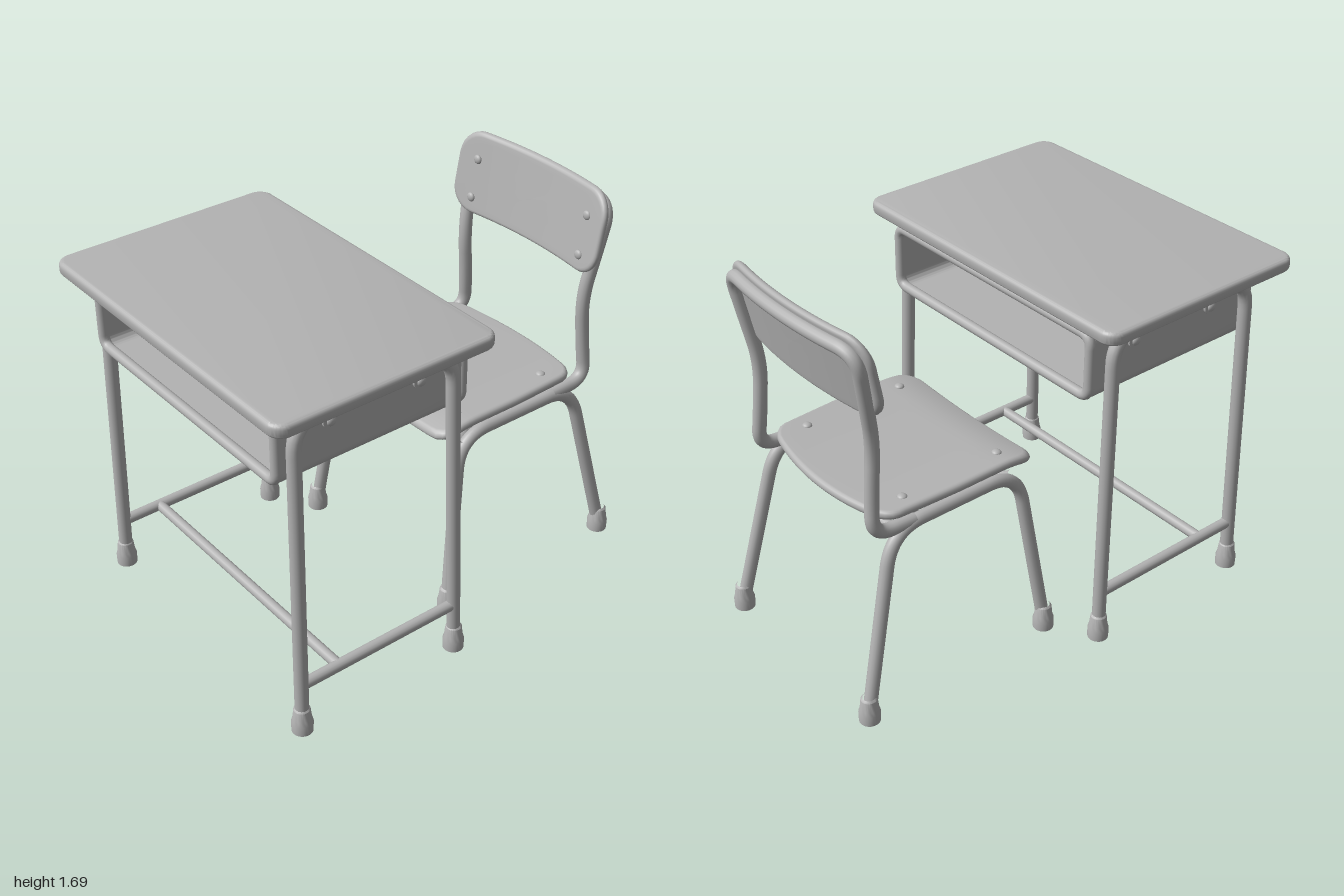
import * as THREE from 'three';
import { toCreasedNormals } from 'three/addons/utils/BufferGeometryUtils.js';

const grey = new THREE.MeshStandardMaterial({ color: 0xb3b3b3 });
grey.name = 'plain grey';

const v = (x, y, z) => new THREE.Vector3(x, y, z);

function add(parent, name, geometry, x = 0, y = 0, z = 0) {
  const mesh = new THREE.Mesh(geometry, grey);
  mesh.name = name;
  mesh.position.set(x, y, z);
  parent.add(mesh);
  return mesh;
}

// Round tube along a polyline whose corners are rounded off
function tube(points, radius, corner = 0, segments = 80) {
  const path = new THREE.CurvePath();
  let last = points[0];
  for (let i = 1; i < points.length - 1; i++) {
    const p = points[i];
    const cut = (q) => {
      const d = q.clone().sub(p);
      return p.clone().add(d.setLength(Math.min(corner, d.length() * 0.49)));
    };
    const a = cut(points[i - 1]), b = cut(points[i + 1]);
    path.add(new THREE.LineCurve3(last, a));
    path.add(new THREE.QuadraticBezierCurve3(a, p, b));
    last = b;
  }
  path.add(new THREE.LineCurve3(last, points[points.length - 1]));
  return new THREE.TubeGeometry(path, points.length > 2 ? segments : 1, radius, 14);
}

function roundedRect(w, h, r, Type = THREE.Shape) {
  const s = new Type(), x = w / 2, y = h / 2;
  s.absarc(x - r, y - r, r, 0, Math.PI / 2);
  s.absarc(-x + r, y - r, r, Math.PI / 2, Math.PI);
  s.absarc(-x + r, -y + r, r, Math.PI, Math.PI * 1.5);
  s.absarc(x - r, -y + r, r, Math.PI * 1.5, Math.PI * 2);
  s.closePath();
  return s;
}

// Soft-edged board made of nested outline rings, then bent by a rule
function bentPanel(w, h, r, t, bend) {
  const outline = roundedRect(w, h, r).getSpacedPoints(96).slice(0, 96);
  const n = outline.length, e = t / 2, rings = [];
  for (let i = 0; i <= 8; i++) rings.push([i / 8, e, e]);
  for (let i = 1; i < 8; i++) {
    const a = Math.PI / 2 - (i * Math.PI) / 8;
    rings.push([1, e - e * Math.cos(a), e * Math.sin(a)]);
  }
  for (let i = 8; i >= 0; i--) rings.push([i / 8, e, -e]);
  const pos = [], index = [];
  rings.forEach(([scale, inset, off], i) => {
    outline.forEach((p, j) => {
      const q = v(p.x * scale * (1 - 2 * inset / w), p.y * scale * (1 - 2 * inset / h), off);
      bend(q);
      pos.push(q.x, q.y, q.z);
      if (i === rings.length - 1) return;
      const a = i * n + j, b = i * n + (j + 1) % n;
      index.push(a, a + n, b + n, a, b + n, b);
    });
  });
  const g = new THREE.BufferGeometry();
  g.setAttribute('position', new THREE.Float32BufferAttribute(pos, 3));
  g.setIndex(index);
  g.computeVertexNormals();
  return g;
}

// Flared foot cap with a recess underneath
const footGeometry = toCreasedNormals(new THREE.LatheGeometry(
  [[0, 0.02], [0.024, 0.02], [0.024, 0], [0.044, 0], [0.045, 0.045], [0.039, 0.065], [0.034, 0.11], [0.026, 0.118]]
    .map(([x, y]) => new THREE.Vector2(x, y)), 24), 0.7);

const boltGeometry = new THREE.SphereGeometry(0.021, 16, 10).scale(1, 0.6, 1);

function createDesk() {
  const desk = new THREE.Group();
  desk.name = 'desk';

  // Table top with rounded edges
  const top = new THREE.ExtrudeGeometry(roundedRect(1.474, 0.97, 0.045), {
    depth: 0.02, bevelThickness: 0.02, bevelSize: 0.02, bevelSegments: 5, curveSegments: 10,
  }).rotateX(-Math.PI / 2);
  add(desk, 'tableTop', toCreasedNormals(top, 0.6), 0, 1.495, 0.495);

  // Open-ended book tray
  const trayShape = roundedRect(1.22, 0.305, 0.05);
  trayShape.holes.push(roundedRect(1.19, 0.275, 0.038, THREE.Path));
  const tray = new THREE.ExtrudeGeometry(trayShape, { depth: 0.86, bevelEnabled: false, curveSegments: 8 });
  add(desk, 'bookTray', toCreasedNormals(tray, 0.6), 0, 1.3125, 0.037);

  // Rolled rims at both openings
  for (const [name, z] of [['frontTrayRim', 0.896], ['backTrayRim', 0.038]]) {
    const x = 0.595, lo = 1.176, hi = 1.448;
    add(desk, name, tube([v(0, lo, z), v(x, lo, z), v(x, hi, z), v(-x, hi, z), v(-x, lo, z), v(0, lo, z)], 0.022, 0.05, 200));
  }

  for (const s of [1, -1]) {
    const side = s > 0 ? 'left' : 'right';
    // Side frame: one bent tube making front and back legs
    add(desk, side + 'LegFrame', tube([
      v(0.66 * s, 0.05, 0.865), v(0.637 * s, 1.443, 0.848), v(0.637 * s, 1.443, 0.12), v(0.66 * s, 0.05, 0.088),
    ], 0.029, 0.13, 120));
    add(desk, side + 'LowerRail', tube([v(0.656 * s, 0.228, 0.86), v(0.656 * s, 0.228, 0.095)], 0.024));
    for (const z of [0.865, 0.088]) add(desk, side + 'DeskFoot', footGeometry, 0.66 * s, 0, z);

    // Mounting tabs and rivets
    for (const z of [0.67, 0.255]) {
      const tab = new THREE.Shape();
      tab.moveTo(0.035, 0.07);
      tab.lineTo(-0.035, 0.07);
      tab.absarc(0, 0, 0.035, Math.PI, Math.PI * 2);
      const g = new THREE.ExtrudeGeometry(tab, { depth: 0.012, bevelEnabled: false }).translate(0, 0, -0.006).rotateY(Math.PI / 2);
      add(desk, side + 'MountingTab', toCreasedNormals(g, 0.6), 0.615 * s, 1.365, z);
      add(desk, side + 'TabRivet', boltGeometry, 0.62 * s, 1.362, z).rotation.z = -s * Math.PI / 2;
    }
  }
  add(desk, 'crossRail', tube([v(-0.656, 0.228, 0.68), v(0.656, 0.228, 0.68)], 0.023));
  return desk;
}

function createChair() {
  const chair = new THREE.Group();
  chair.name = 'chair';

  // Dished seat: sides raised, front edge rolled down, back edge narrower
  const seat = bentPanel(0.82, 0.79, 0.075, 0.042, (q) => {
    const back = Math.max(0, q.y / 0.395);
    q.y -= 0.06 * back ** 2 * (q.x / 0.41) ** 2;
    q.x *= 1 - 0.04 * back;
    const lip = Math.max(0, (-q.y - 0.22) / 0.175);
    q.z += 0.018 * (q.x / 0.41) ** 2 - 0.032 * lip ** 2;
  }).rotateX(-Math.PI / 2);
  add(chair, 'seat', seat, 0, 0.846, -0.445);

  // Curved backrest leaning backwards
  const wrap = (x) => 0.045 * (x / 0.443) ** 2;
  const backrest = bentPanel(0.886, 0.36, 0.11, 0.036, (q) => { q.z += wrap(q.x) - q.y * 0.19; });
  add(chair, 'backrest', backrest, 0, 1.512, -0.882);

  for (const s of [1, -1]) {
    const side = s > 0 ? 'left' : 'right';
    // Side frame: one bent tube making front and back legs
    add(chair, side + 'ChairLegFrame', tube([
      v(0.462 * s, 0.05, -0.048), v(0.395 * s, 0.808, -0.145), v(0.395 * s, 0.808, -0.77), v(0.455 * s, 0.05, -0.95),
    ], 0.028, 0.15, 120));
    add(chair, side + 'FrontChairFoot', footGeometry, 0.464 * s, 0, -0.047);
    add(chair, side + 'BackChairFoot', footGeometry, 0.456 * s, 0, -0.952);

    for (const z of [-0.19, -0.66]) add(chair, side + 'SeatBolt', boltGeometry, 0.32 * s, 0.876, z);
    for (const y of [1.405, 1.575]) {
      const z = -0.864 + wrap(0.335) - (y - 1.512) * 0.19;
      add(chair, side + 'BackrestBolt', boltGeometry, 0.335 * s, y, z).rotation.x = Math.PI / 2;
    }
  }

  // Back frame: from the seat rails up, around behind the backrest and down
  const post = (s) => [
    v(0.39 * s, 0.812, -0.66), v(0.39 * s, 0.818, -0.855), v(0.375 * s, 1.0, -0.84),
    v(0.372 * s, 1.22, -0.822), v(0.395 * s, 1.45, -0.865), v(0.41 * s, 1.638, -0.9),
  ];
  add(chair, 'backFrame', tube([
    ...post(-1), v(-0.2, 1.638, -0.928), v(0, 1.638, -0.936), v(0.2, 1.638, -0.928), ...post(1).reverse(),
  ], 0.029, 0.1, 260));

  // Cross tubes below the seat
  for (const [name, z] of [['frontSeatRail', -0.17], ['backSeatRail', -0.715]]) {
    add(chair, name, tube([
      v(-0.395, 0.8, z), v(-0.34, 0.758, z), v(0.34, 0.758, z), v(0.395, 0.8, z),
    ], 0.022, 0.06, 60));
  }
  return chair;
}

export function createModel() {
  const model = new THREE.Group();
  model.name = 'schoolDeskAndChair';
  model.add(createDesk(), createChair());
  return model;
}
